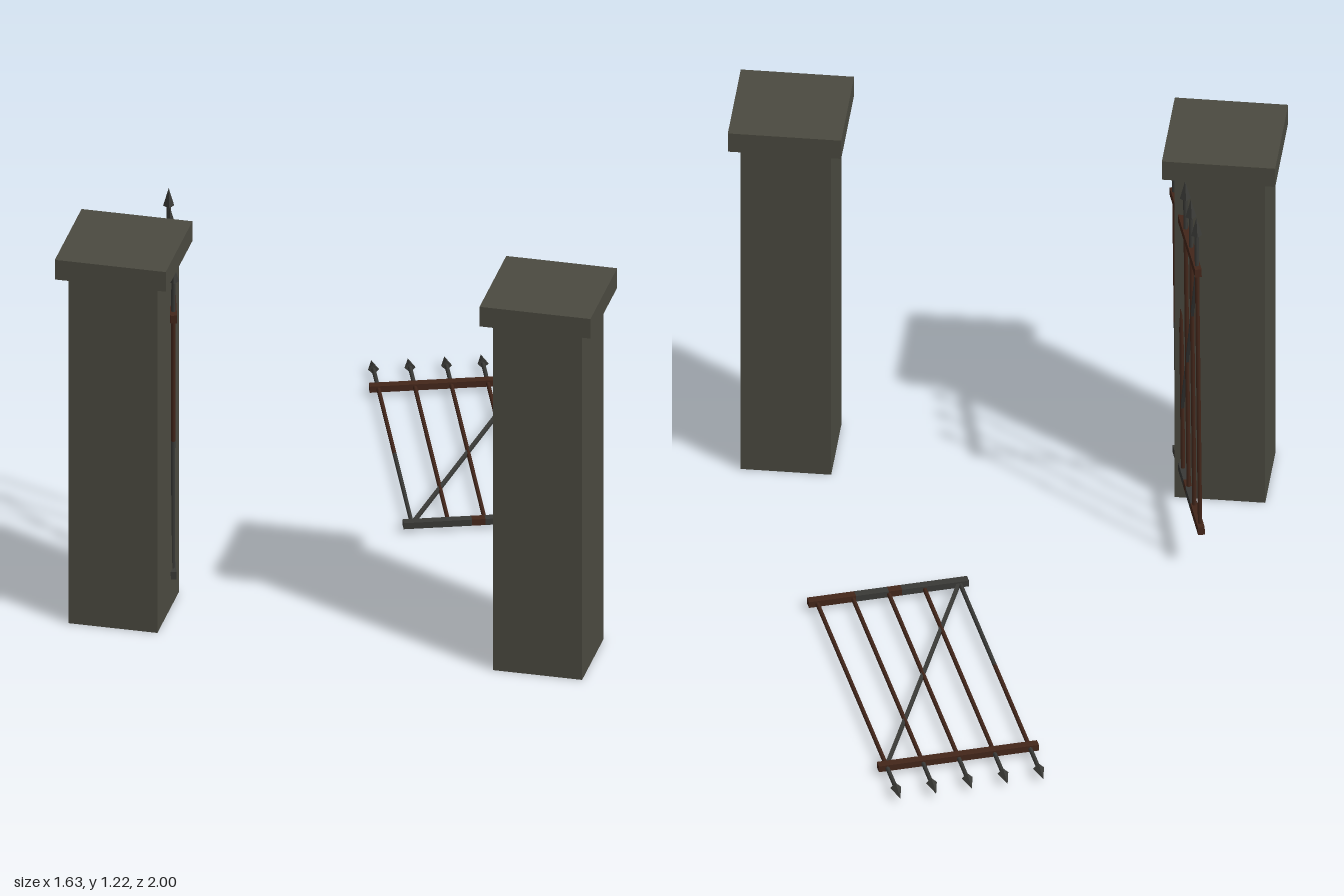
import * as THREE from 'three';

function material(name, color) {
  const m = new THREE.MeshStandardMaterial({ color });
  m.name = name;
  return m;
}

export function createModel() {
  const stone = material('stone', 0x4b4a40);
  const iron = material('dark iron', 0x3a3a37);
  const rust = material('rust', 0x43261a);

  const model = new THREE.Group();
  model.name = 'ruinedGateway';

  function add(parent, name, geometry, mat, x, y, z) {
    const mesh = new THREE.Mesh(geometry, mat);
    mesh.name = name;
    mesh.position.set(x, y, z);
    parent.add(mesh);
    return mesh;
  }

  // Stone pillars with overhanging caps
  for (const side of [-1, 1]) {
    const pillar = new THREE.Group();
    pillar.name = side < 0 ? 'rightPillar' : 'leftPillar';
    pillar.position.set(side * 0.645, 0, 0.83);
    add(pillar, 'shaft', new THREE.BoxGeometry(0.27, 1.155, 0.27), stone, 0, 0.5775, 0);
    add(pillar, 'cap', new THREE.BoxGeometry(0.337, 0.065, 0.337), stone, 0, 1.1875, 0);
    model.add(pillar);
  }

  // One gate leaf: hinge side at -x, lower rail centred on the origin
  const railGap = 0.884;
  const railHalf = 0.243;
  const barHalf = 0.217;

  function createGate(name) {
    const gate = new THREE.Group();
    gate.name = name;

    // Rails, the lower one patched with rust
    const rail = (partName, from, to, y, mat) =>
      add(gate, partName, new THREE.BoxGeometry(to - from, 0.026, 0.02), mat, (from + to) / 2, y, 0);
    rail('upperRail', -railHalf, railHalf, railGap, rust);
    const cuts = [-railHalf, -0.04, 0, 0.1, railHalf];
    for (let i = 0; i < 4; i++) {
      rail('lowerRail', cuts[i], cuts[i + 1], 0, i % 2 ? rust : iron);
    }

    // Upright bars with four-sided spear tips
    const bar = (x, from, to, mat) =>
      add(gate, 'bar', new THREE.CylinderGeometry(0.0065, 0.0065, to - from, 6), mat, x, (from + to) / 2, 0);
    for (let i = 0; i < 5; i++) {
      const x = -barHalf + (i * barHalf) / 2;
      const split = i === 0 ? 0.45 : railGap;
      if (i === 0) {
        bar(x, 0, split, iron);
        bar(x, split, railGap, rust);
      } else {
        bar(x, 0, railGap, rust);
      }
      bar(x, railGap, 1.005, iron);
      const tip = new THREE.ConeGeometry(0.0165, 0.06, 4).toNonIndexed();
      tip.computeVertexNormals();
      add(gate, 'spearTip', tip, iron, x, 1.03, 0);
    }

    // Diagonal brace from the hinge foot to the free top corner
    const length = Math.hypot(2 * barHalf, railGap);
    const brace = add(gate, 'brace', new THREE.BoxGeometry(0.011, length, 0.009), iron, 0, railGap / 2, 0);
    brace.rotation.z = -Math.atan2(2 * barHalf, railGap);

    gate.rotation.order = 'YXZ';
    model.add(gate);
    return gate;
  }

  // Sagging gate still hung on the right pillar
  const hanging = createGate('hangingGate');
  hanging.position.set(-0.568, 0.121, 0.561);
  hanging.rotation.set(0, 1.84, 0.066);

  // Fallen gate lying flat behind the gateway
  const fallen = createGate('fallenGate');
  fallen.position.set(0.27, 0.022, 0.073);
  fallen.rotation.set(-Math.PI / 2, 0.35, 0);

  return model;
}
